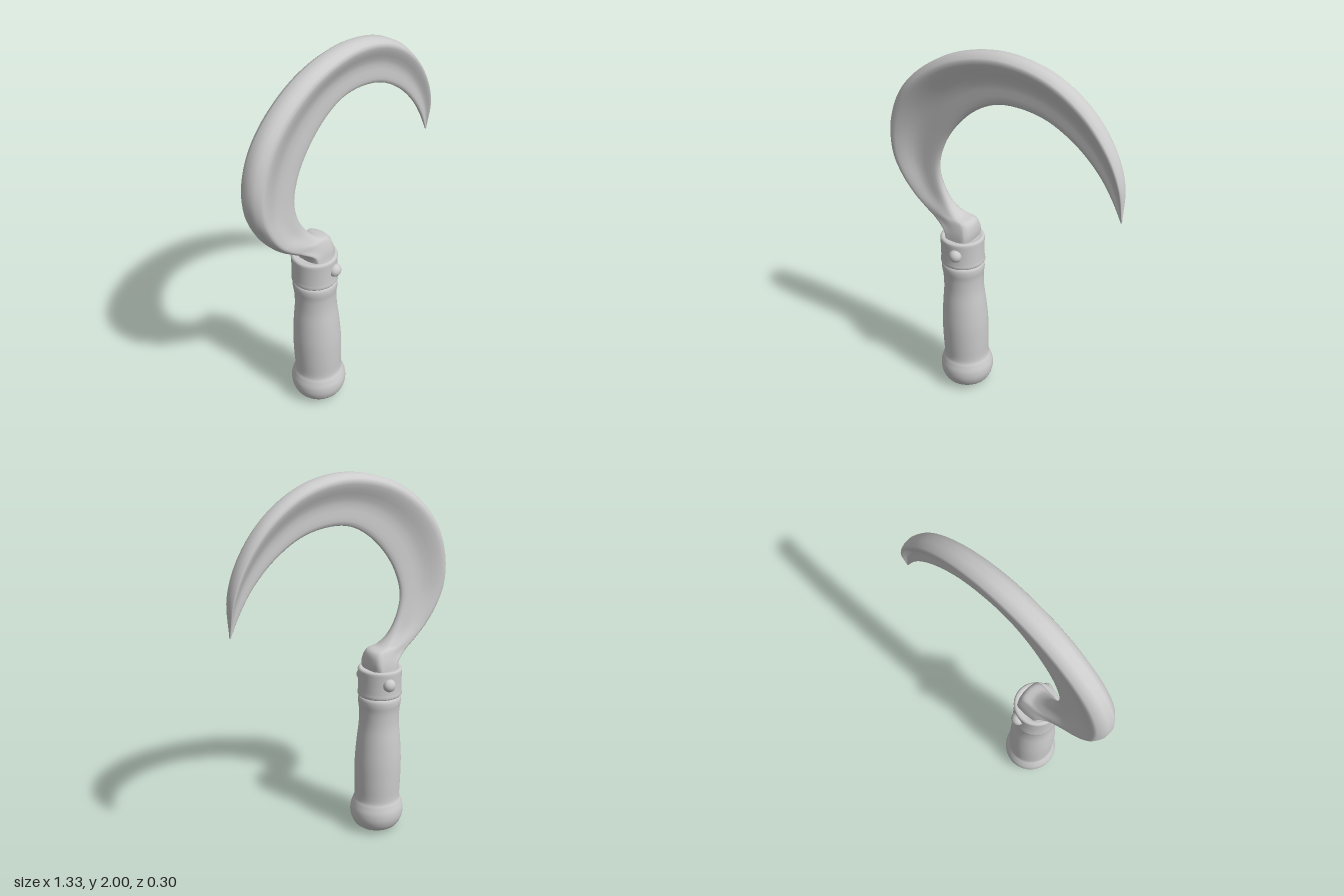
import * as THREE from 'three';

const V = (x, y, z = 0) => new THREE.Vector3(x, y, z);
const material = new THREE.MeshStandardMaterial({ color: 0xcccccc, roughness: 0.7 });
const AXIS_X = -0.245;

function addMesh(parent, name, geometry) {
  const mesh = new THREE.Mesh(geometry, material);
  mesh.name = name;
  parent.add(mesh);
  return mesh;
}

// Paired stations from collar to tip: spine x, y, half thickness, then edge x, y, half thickness
const stations = [
  [-0.31, 0.92, 0.085, -0.175, 0.92, 0.085],
  [-0.33, 0.99, 0.075, -0.165, 1.0, 0.08],
  [-0.4, 1.04, 0.052, -0.18, 1.057, 0.065],
  [-0.47, 1.09, 0.046, -0.245, 1.08, 0.048],
  [-0.54, 1.155, 0.05, -0.31, 1.14, 0.03],
  [-0.61, 1.255, 0.06, -0.36, 1.235, 0.022],
  [-0.658, 1.37, 0.066, -0.375, 1.34, 0.018],
  [-0.665, 1.52, 0.067, -0.34, 1.46, 0.016],
  [-0.61, 1.68, 0.066, -0.27, 1.57, 0.016],
  [-0.49, 1.82, 0.064, -0.16, 1.675, 0.016],
  [-0.28, 1.945, 0.062, -0.045, 1.735, 0.016],
  [0, 2.0, 0.06, 0.08, 1.75, 0.016],
  [0.25, 1.955, 0.057, 0.245, 1.72, 0.015],
  [0.45, 1.83, 0.053, 0.405, 1.63, 0.014],
  [0.585, 1.66, 0.046, 0.525, 1.515, 0.012],
  [0.65, 1.49, 0.034, 0.6, 1.405, 0.01],
  [0.657, 1.3, 0.003, 0.652, 1.3, 0.003],
];

// Cross-section from spine to edge: position, end rounding
const section = [
  [0, 0.3], [0.04, 0.62], [0.09, 0.9], [0.14, 1], [0.2, 1], [0.28, 1], [0.37, 1], [0.47, 1],
  [0.58, 1], [0.7, 1], [0.82, 1], [0.91, 0.95], [0.97, 0.7], [1, 0.2],
];

// Hollow-ground blade, lofted between the spine curve and the cutting-edge curve
function bladeGeometry() {
  const spine = new THREE.CatmullRomCurve3(stations.map(s => V(s[0], s[1], s[2])));
  const edge = new THREE.CatmullRomCurve3(stations.map(s => V(s[3], s[4], s[5])));
  const steps = 128, ring = section.length * 2;
  const positions = [], index = [];
  for (let i = 0; i <= steps; i++) {
    const a = spine.getPoint(i / steps), b = edge.getPoint(i / steps);
    const point = ([t, cap], side) => {
      const hollow = THREE.MathUtils.smoothstep(t, 0.12, 0.62);
      const z = THREE.MathUtils.lerp(a.z, b.z, hollow) * cap * side;
      positions.push(a.x + (b.x - a.x) * t, a.y + (b.y - a.y) * t, z);
    };
    section.forEach(p => point(p, 1));
    [...section].reverse().forEach(p => point(p, -1));
  }
  for (let i = 0; i < steps; i++) {
    for (let j = 0; j < ring; j++) {
      const k = (j + 1) % ring;
      const a = i * ring + j, b = i * ring + k;
      index.push(a, b, a + ring, b, b + ring, a + ring);
    }
  }
  // Close the tip
  for (let j = 1; j < ring - 1; j++) index.push(steps * ring, steps * ring + j, steps * ring + j + 1);
  const geometry = new THREE.BufferGeometry();
  geometry.setAttribute('position', new THREE.Float32BufferAttribute(positions, 3));
  geometry.setIndex(index);
  geometry.computeVertexNormals();
  return geometry;
}

// Turned wooden grip with a waist and a rounded pommel, leaning very slightly
function gripGeometry() {
  const profile = new THREE.SplineCurve([
    [0, 0.003], [0.07, 0.008], [0.12, 0.032], [0.145, 0.08], [0.148, 0.13], [0.136, 0.172],
    [0.126, 0.205], [0.128, 0.3], [0.128, 0.42], [0.12, 0.54], [0.11, 0.64], [0.11, 0.72],
    [0.116, 0.77], [0.112, 0.8], [0.09, 0.815],
  ].map(p => new THREE.Vector2(...p))).getPoints(70);
  profile[0].x = 0;
  const geometry = new THREE.LatheGeometry(profile, 48);
  const p = geometry.attributes.position;
  for (let i = 0; i < p.count; i++) p.setX(i, p.getX(i) + 0.012 * (1 - p.getY(i) / 0.8));
  return geometry;
}

// Metal ferrule with softened rims
function collarGeometry() {
  const profile = [
    [0.08, 0.806], [0.108, 0.806], [0.116, 0.809], [0.12, 0.816], [0.119, 0.828], [0.117, 0.84],
    [0.117, 0.89], [0.118, 0.94], [0.119, 0.952], [0.116, 0.96], [0.108, 0.964],
    [0.098, 0.962], [0.085, 0.957], [0, 0.957],
  ].map(p => new THREE.Vector2(...p));
  return new THREE.LatheGeometry(profile, 48);
}

export function createModel() {
  const model = new THREE.Group();
  model.name = 'sickle';

  addMesh(model, 'blade', bladeGeometry());
  addMesh(model, 'grip', gripGeometry()).position.x = AXIS_X;
  addMesh(model, 'collar', collarGeometry()).position.x = AXIS_X;

  // Domed rivets through the collar, front and back
  for (const side of [1, -1]) {
    const rivet = addMesh(model, side > 0 ? 'frontRivet' : 'backRivet', new THREE.SphereGeometry(0.035, 24, 16));
    rivet.position.set(-0.217, 0.893, side * 0.113);
    rivet.scale.z = 0.9;
  }
  return model;
}
